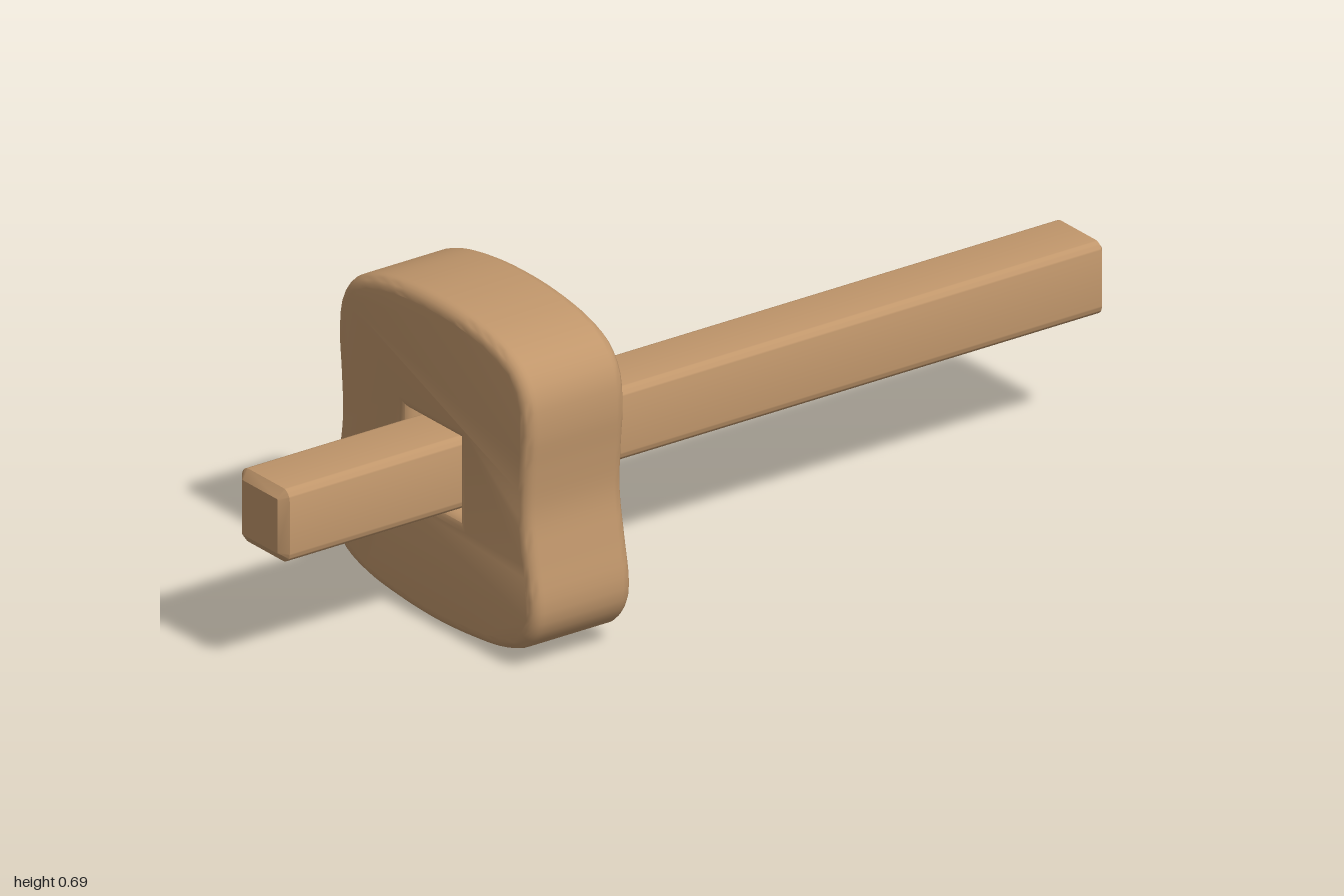
import * as THREE from 'three';
import { toCreasedNormals } from 'three/addons/utils/BufferGeometryUtils.js';

const MID_Y = 0.337;

// Square outline with rounded corners, centred on (0, y)
function roundedSquare(target, half, r, y) {
  target.moveTo(half, y - half + r);
  target.lineTo(half, y + half - r);
  target.absarc(half - r, y + half - r, r, 0, Math.PI / 2);
  target.lineTo(-half + r, y + half);
  target.absarc(-half + r, y + half - r, r, Math.PI / 2, Math.PI);
  target.lineTo(-half, y - half + r);
  target.absarc(-half + r, y - half + r, r, Math.PI, Math.PI * 1.5);
  target.lineTo(half - r, y - half);
  target.absarc(half - r, y - half + r, r, Math.PI * 1.5, Math.PI * 2);
  return target;
}

// Extrude a shape along x between x0 and x1, with bevels inside those limits
function extrudeAlongX(shape, x0, x1, size, thickness, segments, crease) {
  const geometry = new THREE.ExtrudeGeometry(shape, {
    depth: x1 - x0 - 2 * thickness, curveSegments: 5, bevelEnabled: true,
    bevelSize: size, bevelOffset: -size, bevelThickness: thickness, bevelSegments: segments,
  });
  geometry.translate(0, 0, x0 + thickness);
  geometry.rotateY(Math.PI / 2);
  return toCreasedNormals(geometry, crease);
}

export function createModel() {
  const wood = new THREE.MeshStandardMaterial({ color: 0xc0966b });
  wood.name = 'wood';
  const brass = new THREE.MeshStandardMaterial({ color: 0xc99e50 });
  brass.name = 'brass';
  const group = new THREE.Group();
  group.name = 'markingGauge';

  const add = (name, geometry, material) => {
    const mesh = new THREE.Mesh(geometry, material);
    mesh.name = name;
    group.add(mesh);
    return mesh;
  };

  // Waisted sliding head with a square mortise
  const half = [
    [0.12, 0.006], [0.22, 0.02], [0.295, 0.05], [0.331, 0.1], [0.336, 0.15], [0.322, 0.23],
    [0.306, 0.33], [0.31, 0.43], [0.316, 0.51], [0.306, 0.585], [0.27, 0.635], [0.2, 0.667], [0.1, 0.685],
  ];
  const outline = [[0, 0], ...half, [0, 0.69], ...half.map(([z, y]) => [-z, y]).reverse()]
    .map(([z, y]) => new THREE.Vector3(z, y, 0));
  const curve = new THREE.CatmullRomCurve3(outline, true, 'centripetal');
  const points = curve.getSpacedPoints(96).slice(0, -1).map((p) => new THREE.Vector2(p.x, p.y));
  const headShape = new THREE.Shape(points);
  const mortise = new THREE.Path();
  const h = 0.083;
  mortise.setFromPoints([[-h, -h], [-h, h], [h, h], [h, -h]]
    .map(([z, y]) => new THREE.Vector2(z, y + MID_Y)));
  headShape.holes.push(mortise);
  add('head', extrudeAlongX(headShape, -0.583, -0.342, 0.025, 0.025, 5, 0.7), wood);

  // Square beam with softened long edges and chamfered ends
  const beamShape = roundedSquare(new THREE.Shape(), 0.078, 0.022, MID_Y);
  add('beam', extrudeAlongX(beamShape, -1, 1, 0.02, 0.015, 1, 0.5), wood);

  // Two brass wear strips on the long-beam side, with tapered edges
  for (const side of [1, -1]) {
    const geometry = new THREE.BoxGeometry(0.009, 0.425, 0.074);
    const p = geometry.attributes.position;
    for (let i = 0; i < p.count; i++) {
      if (p.getX(i) < 0) continue;
      p.setY(i, p.getY(i) - Math.sign(p.getY(i)) * 0.01);
      p.setZ(i, p.getZ(i) - Math.sign(p.getZ(i)) * 0.003);
    }
    geometry.computeVertexNormals();
    add(side > 0 ? 'leftwardWearStrip' : 'rightwardWearStrip', geometry, brass)
      .position.set(-0.3395, 0.2985, side * 0.167);
  }
  return group;
}
